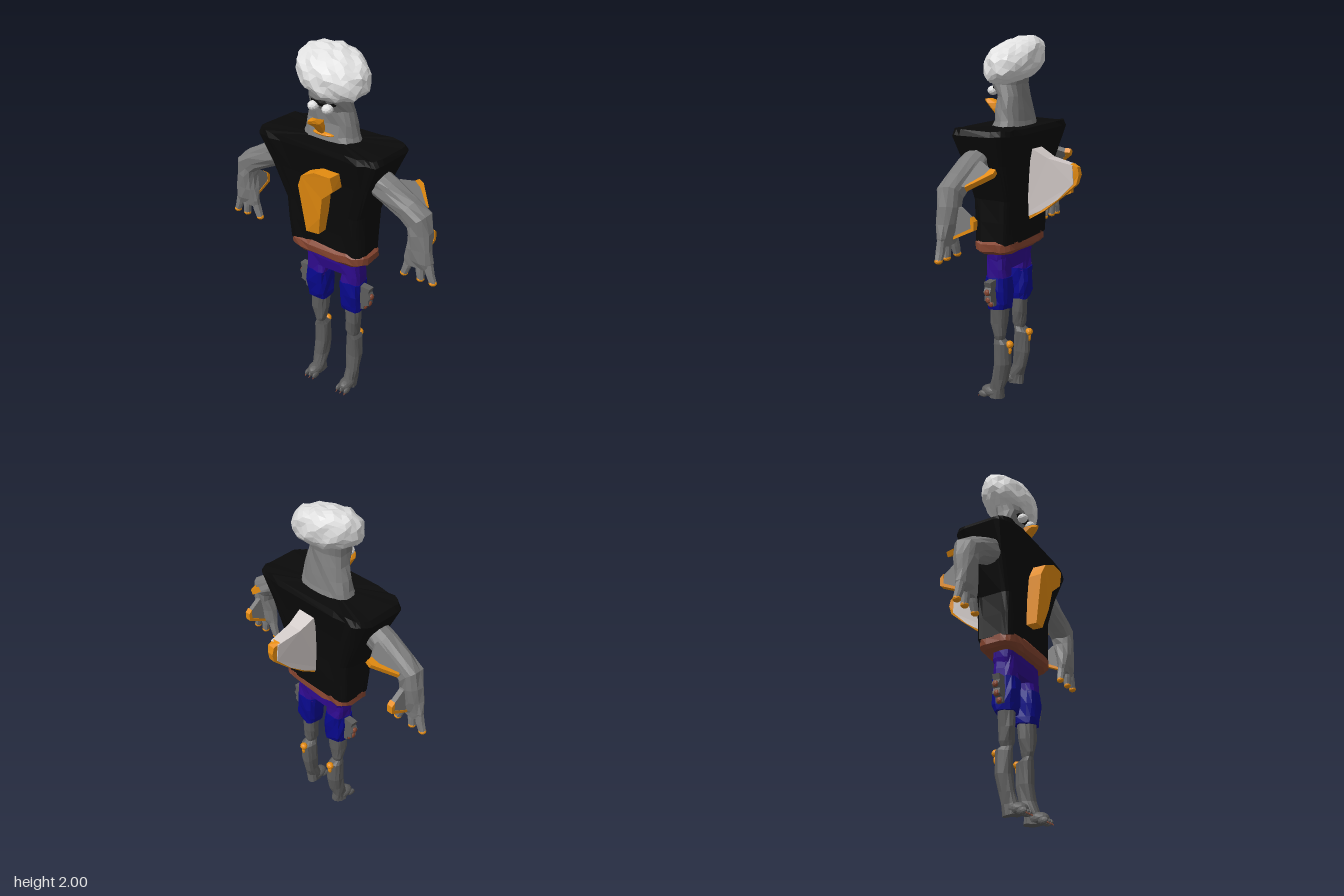
import * as THREE from 'three';

const mat = (name, color) => {
  const m = new THREE.MeshStandardMaterial({ color });
  m.name = name;
  return m;
};

export function createModel() {
  const black = mat('black shirt', 0x0a0a0a), grey = mat('grey skin', 0x7c7c7c);
  const darkGrey = mat('dark grey skin', 0x5c5c5c), white = mat('white hair', 0xe0e0e0);
  const orange = mat('orange', 0xe58c10), brown = mat('brown belt', 0x84442f);
  const purple = mat('purple shorts', 0x2e0a8c), blue = mat('blue trouser legs', 0x08088a);
  const pale = mat('pale fin', 0xd2cac8);

  const model = new THREE.Group();
  model.name = 'figure';

  // Uneven hand-modelled surface: shift each point by a smooth rule
  function roughen(geo, a) {
    const p = geo.attributes.position;
    for (let i = 0; i < p.count; i++) {
      const x = p.getX(i), y = p.getY(i), z = p.getZ(i);
      p.setXYZ(i,
        x + a * Math.sin(y * 61 + z * 47 + 1),
        y + a * Math.sin(x * 53 + z * 59 + 2),
        z + a * Math.sin(x * 67 + y * 43 + 3));
    }
    return geo;
  }

  // Faceted mesh, optionally mirrored across z
  function add(parent, name, geo, material, mirror = false) {
    const g = geo.index ? geo.toNonIndexed() : geo.clone();
    if (mirror) {
      g.scale(1, 1, -1);
      const p = g.attributes.position, a = new THREE.Vector3(), b = new THREE.Vector3();
      for (let i = 0; i < p.count; i += 3) {
        a.fromBufferAttribute(p, i + 1);
        b.fromBufferAttribute(p, i + 2);
        p.setXYZ(i + 1, b.x, b.y, b.z);
        p.setXYZ(i + 2, a.x, a.y, a.z);
      }
    }
    g.computeVertexNormals();
    const mesh = new THREE.Mesh(g, material);
    mesh.name = name;
    parent.add(mesh);
    return mesh;
  }

  // Loft downward through sections [x, y, z, halfX, halfWidth, tilt in degrees]
  function loft(sections, { n = 14, e = 0.8, rough = 0.004 } = {}) {
    const pos = [], idx = [];
    const pw = v => Math.sign(v) * Math.abs(v) ** e;
    sections.forEach(([x, y, z, rx, rw, deg = 0]) => {
      const t = deg * Math.PI / 180;
      for (let i = 0; i < n; i++) {
        const a = (i + 0.5) / n * Math.PI * 2, w = rw * pw(Math.sin(a));
        pos.push(x + rx * pw(Math.cos(a)), y + w * Math.sin(t), z + w * Math.cos(t));
      }
    });
    const last = sections.length - 1, top = pos.length / 3;
    pos.push(...sections[0].slice(0, 3), ...sections[last].slice(0, 3));
    for (let i = 0; i < n; i++) {
      const j = (i + 1) % n;
      for (let s = 0; s < last; s++) {
        const a = s * n + i, b = s * n + j;
        idx.push(a, b, a + n, b, b + n, a + n);
      }
      idx.push(top, j, i, top + 1, last * n + i, last * n + j);
    }
    const g = new THREE.BufferGeometry();
    g.setAttribute('position', new THREE.Float32BufferAttribute(pos, 3));
    g.setIndex(idx);
    return roughen(g, rough);
  }

  // Flat plate from an outline, centred through its thickness
  function plate(points, depth) {
    const shape = new THREE.Shape(points.map(p => new THREE.Vector2(...p)));
    return new THREE.ExtrudeGeometry(shape, { depth, bevelEnabled: false }).translate(0, 0, -depth / 2);
  }
  const blob = (x, y, z, rx, ry, rz, d = 1) =>
    new THREE.IcosahedronGeometry(1, d).scale(rx, ry, rz).translate(x, y, z);

  // Torso, belt and hips
  add(model, 'shirt', loft([
    [-0.088, 1.535, -0.005, 0.163, 0.375], [-0.088, 1.505, -0.005, 0.17, 0.39],
    [-0.086, 1.35, 0, 0.138, 0.322], [-0.085, 1.16, 0.003, 0.115, 0.247],
    [-0.085, 1.04, 0.005, 0.11, 0.243], [-0.085, 0.92, 0.008, 0.106, 0.24],
  ], { n: 28, e: 0.3 }), black);
  add(model, 'belt', loft([
    [-0.09, 0.945, 0.015, 0.095, 0.225], [-0.09, 0.925, 0.015, 0.115, 0.248],
    [-0.09, 0.885, 0.015, 0.115, 0.248], [-0.09, 0.865, 0.015, 0.095, 0.225],
  ], { n: 24, e: 0.5 }), brown);
  add(model, 'hips', loft([
    [-0.09, 0.89, 0.02, 0.066, 0.185], [-0.09, 0.83, 0.022, 0.062, 0.18],
    [-0.09, 0.77, 0.024, 0.055, 0.165],
  ], { n: 20, e: 0.5 }), purple);

  // Neck, face and hair
  add(model, 'neckAndHead', loft([
    [-0.09, 1.84, -0.005, 0.085, 0.12], [-0.095, 1.75, -0.005, 0.082, 0.115],
    [-0.075, 1.69, -0.005, 0.068, 0.125], [-0.07, 1.62, -0.008, 0.071, 0.145],
    [-0.072, 1.56, -0.01, 0.082, 0.157], [-0.073, 1.51, -0.01, 0.095, 0.175],
  ], { n: 18 }), grey);
  const hair = blob(0, 0, 0, 1, 1, 1, 4), hp = hair.attributes.position;
  for (let i = 0; i < hp.count; i++) {
    const x = hp.getX(i) * 0.148, z = hp.getZ(i) * 0.204, v = hp.getY(i);
    hp.setXYZ(i, x - 0.07, 1.872 + 0.115 * Math.sign(v) * Math.abs(v) ** 0.75 + 0.2 * x - 0.17 * z, z - 0.005);
  }
  add(model, 'hair', roughen(hair, 0.006), white);
  add(model, 'eyePatch', blob(-0.145, 1.735, -0.005, 0.036, 0.028, 0.085), black);
  for (const s of [-1, 1]) add(model, 'eye', blob(-0.178, 1.713, s * 0.045 - 0.005, 0.03, 0.026, 0.03), white);
  add(model, 'beak', loft([
    [-0.238, 1.662, -0.015, 0.022, 0.018], [-0.205, 1.645, -0.015, 0.045, 0.036],
    [-0.18, 1.615, -0.015, 0.03, 0.036], [-0.165, 1.58, -0.015, 0.016, 0.025],
  ], { n: 8 }), orange);
  add(model, 'mouth', blob(-0.146, 1.565, -0.01, 0.025, 0.012, 0.07), orange);

  // Chest crest, leaning forward with the shirt
  const crest = plate([[-0.07, 1.31], [-0.03, 1.38], [0.06, 1.42], [0.16, 1.42], [0.16, 1.34],
    [0.08, 1.28], [0.06, 1.16], [0.03, 1.04], [-0.05, 1.04]], 0.1).rotateY(-Math.PI / 2);
  const cp = crest.attributes.position;
  for (let i = 0; i < cp.count; i++) cp.setX(i, cp.getX(i) - 0.2 - 0.18 * (cp.getY(i) - 1.05));
  add(model, 'chestCrest', roughen(crest, 0.005), orange);

  // Back fin, thinning toward its orange edge
  function taper(geo) {
    const p = geo.attributes.position;
    for (let i = 0; i < p.count; i++) {
      const k = (1 - 1.7 * Math.max(0, p.getX(i))) * (0.45 + 1.4 * Math.max(0, p.getY(i) - 1.03));
      p.setZ(i, p.getZ(i) * k);
    }
    return geo;
  }
  add(model, 'backFin', taper(plate([[0.0, 1.42], [0.06, 1.42], [0.15, 1.37], [0.285, 1.34], [0.29, 1.24],
    [0.2, 1.15], [0.1, 1.08], [0.03, 1.045], [0, 1.05]], 0.125)), pale);
  add(model, 'backFinEdge', roughen(taper(plate([[0.27, 1.345], [0.31, 1.33], [0.32, 1.29], [0.305, 1.24],
    [0.23, 1.17], [0.12, 1.08], [0.03, 1.03], [0.03, 1.047], [0.1, 1.09], [0.2, 1.165], [0.275, 1.25],
    [0.285, 1.3]], 0.1)), 0.002), orange);

  // Arms
  const fingers = [[0.625, 0.66], [0.583, 0.588], [0.525, 0.49]];
  for (const mirror of [false, true]) {
    const arm = new THREE.Group();
    arm.name = mirror ? 'armBack' : 'armFront';
    model.add(arm);
    add(arm, 'armLimb', loft([
      [-0.115, 1.4, 0.26, 0.07, 0.07, 66], [-0.115, 1.345, 0.38, 0.07, 0.068, 66],
      [-0.12, 1.285, 0.5, 0.066, 0.064, 60], [-0.122, 1.245, 0.56, 0.064, 0.064, 40],
      [-0.125, 1.18, 0.573, 0.06, 0.058, 10], [-0.13, 1.1, 0.572, 0.048, 0.068],
      [-0.133, 1.03, 0.572, 0.035, 0.08], [-0.133, 0.99, 0.572, 0.022, 0.078],
    ], { n: 12 }), grey, mirror);
    for (const [z0, z1] of fingers) {
      add(arm, 'finger', loft([[-0.133, 1.03, z0, 0.022, 0.026], [-0.133, 0.97, (z0 + z1) / 2, 0.022, 0.023],
        [-0.133, 0.925, z1, 0.018, 0.02]], { n: 8, rough: 0.001 }), grey, mirror);
      add(arm, 'fingertip', blob(-0.133, 0.925, z1, 0.021, 0.016, 0.022), orange, mirror);
    }
    // Upper arm fin lies along the limb, forearm fin stands upright
    const upper = g => g.rotateX(-Math.PI / 2).rotateX(0.56).translate(0, 1.315, 0.48);
    add(arm, 'upperArmFin', upper(plate([[-0.08, -0.08], [-0.045, -0.08], [0.03, 0.015], [0.03, 0.065],
      [-0.045, 0.115], [-0.08, 0.115]], 0.025)), grey, mirror);
    add(arm, 'upperArmFinTip', upper(plate([[-0.04, -0.085], [0.062, 0.03], [0.062, 0.062], [0.03, 0.066],
      [0.02, 0.02], [-0.045, -0.07]], 0.028)), orange, mirror);
    const fore = g => g.translate(0, 0, 0.56);
    add(arm, 'forearmFin', fore(plate([[-0.1, 1.19], [-0.06, 1.18], [0.005, 1.13], [0.005, 1.08],
      [-0.1, 1.03]], 0.028)), grey, mirror);
    add(arm, 'forearmFinEdge', fore(plate([[0, 1.14], [0.02, 1.12], [0.018, 1.075], [-0.1, 1.02],
      [-0.1, 1.035], [0, 1.085]], 0.034)), orange, mirror);
  }

  // Legs, each modelled about its own centre line
  for (const mirror of [false, true]) {
    const leg = new THREE.Group();
    leg.name = mirror ? 'legBack' : 'legFront';
    leg.position.z = 0.025 + (mirror ? -0.115 : 0.115);
    model.add(leg);
    add(leg, 'shortsLeg', loft([[-0.09, 0.84, 0, 0.058, 0.06], [-0.09, 0.77, 0, 0.056, 0.062],
      [-0.09, 0.71, 0, 0.062, 0.063]], { n: 12, e: 0.6 }), purple, mirror);
    add(leg, 'trouserLeg', loft([[-0.09, 0.725, 0, 0.066, 0.064], [-0.09, 0.65, 0, 0.07, 0.066],
      [-0.088, 0.58, 0, 0.064, 0.065], [-0.087, 0.545, 0, 0.056, 0.06]], { n: 12, e: 0.6 }), blue, mirror);
    add(leg, 'shin', loft([[-0.088, 0.56, 0, 0.048, 0.048], [-0.09, 0.46, 0, 0.044, 0.044],
      [-0.09, 0.39, 0, 0.036, 0.036], [-0.088, 0.365, 0, 0.03, 0.028], [-0.075, 0.34, 0, 0.046, 0.04],
      [-0.075, 0.22, 0, 0.047, 0.044], [-0.09, 0.13, 0, 0.043, 0.038], [-0.108, 0.07, 0, 0.042, 0.036],
      [-0.115, 0.015, 0, 0.045, 0.036]], { n: 12 }), darkGrey, mirror);
    add(leg, 'foot', blob(-0.145, 0.042, 0, 0.062, 0.036, 0.04, 2), darkGrey, mirror);
    for (const z of [-0.028, 0, 0.028]) {
      add(leg, 'toe', blob(-0.185, 0.026, z, 0.03, 0.02, 0.013), darkGrey, mirror);
      add(leg, 'claw', new THREE.ConeGeometry(0.008, 0.022, 6).rotateZ(2.3).translate(-0.211, 0.014, z), brown, mirror);
    }
    // Ankle spur
    add(leg, 'spur', blob(-0.028, 0.338, 0, 0.022, 0.022, 0.024), orange, mirror);
    add(leg, 'spurTail', blob(-0.028, 0.305, 0, 0.012, 0.025, 0.012), orange, mirror);
    // Ragged fin on the outer side of the thigh
    const side = g => g.rotateY(-Math.PI / 2).translate(-0.095, 0, 0);
    add(leg, 'thighFin', side(plate([[0.04, 0.72], [0.125, 0.715], [0.115, 0.685], [0.13, 0.66], [0.115, 0.64],
      [0.12, 0.61], [0.09, 0.6], [0.085, 0.575], [0.04, 0.57]], 0.04)), darkGrey, mirror);
    for (const [z, y] of [[0.125, 0.66], [0.113, 0.615], [0.085, 0.585]])
      add(leg, 'thighFinTip', blob(-0.095, y, z, 0.016, 0.018, 0.012), brown, mirror);
  }
  return model;
}
